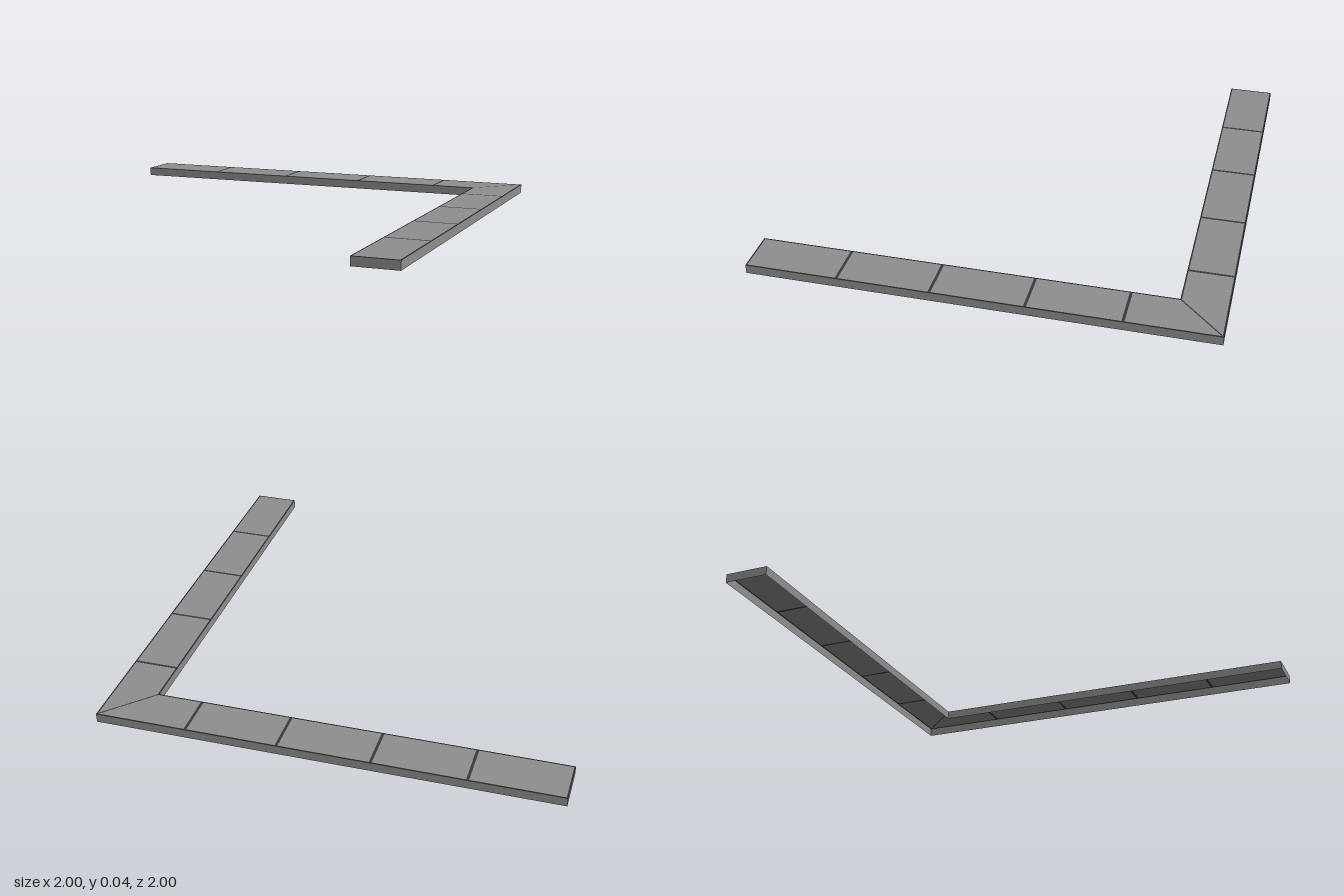
import * as THREE from 'three';

const HEIGHT = 0.04;
const WIDTH = 0.2;
const PANEL = 0.4;
const INNER = 1 - WIDTH;
const BORDER = 0.006;

export function createModel() {
  const model = new THREE.Group();
  model.name = 'cornerTrim';
  const makeMaterial = (color) => new THREE.MeshStandardMaterial({
    color, flatShading: true, side: THREE.DoubleSide,
  });
  const grey = makeMaterial(0x8f8f8f);
  const dark = makeMaterial(0x383840);

  // Flat top piece from plan points (x, -z), with an optional hole
  function addFlat(parent, name, material, points, hole) {
    const toVectors = (list) => list.map(([x, y]) => new THREE.Vector2(x, y));
    const shape = new THREE.Shape(toVectors(points));
    if (hole) shape.holes.push(new THREE.Path(toVectors(hole)));
    const mesh = new THREE.Mesh(new THREE.ShapeGeometry(shape).rotateX(-Math.PI / 2), material);
    mesh.position.y = HEIGHT;
    mesh.name = name;
    parent.add(mesh);
  }

  // Two arms of dark-edged panels, mirrored across the mitred corner
  for (const arm of ['backArm', 'sideArm']) {
    const group = new THREE.Group();
    group.name = arm;
    const place = ([x, y]) => (arm === 'backArm' ? [x, y] : [y, x]);
    for (let i = 0; i < 5; i++) {
      const a = -1 + i * PANEL;
      const mitred = i === 4;
      const endAt = (y) => (mitred ? y : a + PANEL);
      const outline = (inset) => {
        const low = INNER + inset;
        const high = 1 - inset;
        const endInset = mitred ? inset * 0.7 : inset;
        return [
          [a + inset, low], [endAt(low) - endInset, low],
          [endAt(high) - endInset, high], [a + inset, high],
        ].map(place);
      };
      addFlat(group, mitred ? 'mitrePanel' : 'topPanel', grey, outline(BORDER));
      addFlat(group, 'panelBorder', dark, outline(0), outline(BORDER));
    }
    model.add(group);
  }

  // Thin skirt around the outline, open underneath
  const skirt = new THREE.Group();
  skirt.name = 'skirt';
  const corners = [[-1, 1], [-1, INNER], [INNER, INNER], [INNER, -1], [1, -1], [1, 1]];
  corners.forEach(([x0, y0], i) => {
    const [x1, y1] = corners[(i + 1) % corners.length];
    const wall = new THREE.Mesh(
      new THREE.PlaneGeometry(Math.hypot(x1 - x0, y1 - y0), HEIGHT), grey);
    wall.position.set((x0 + x1) / 2, HEIGHT / 2, -(y0 + y1) / 2);
    wall.rotation.y = Math.atan2(y1 - y0, x1 - x0);
    wall.name = 'skirtWall';
    skirt.add(wall);
  });
  model.add(skirt);

  return model;
}
